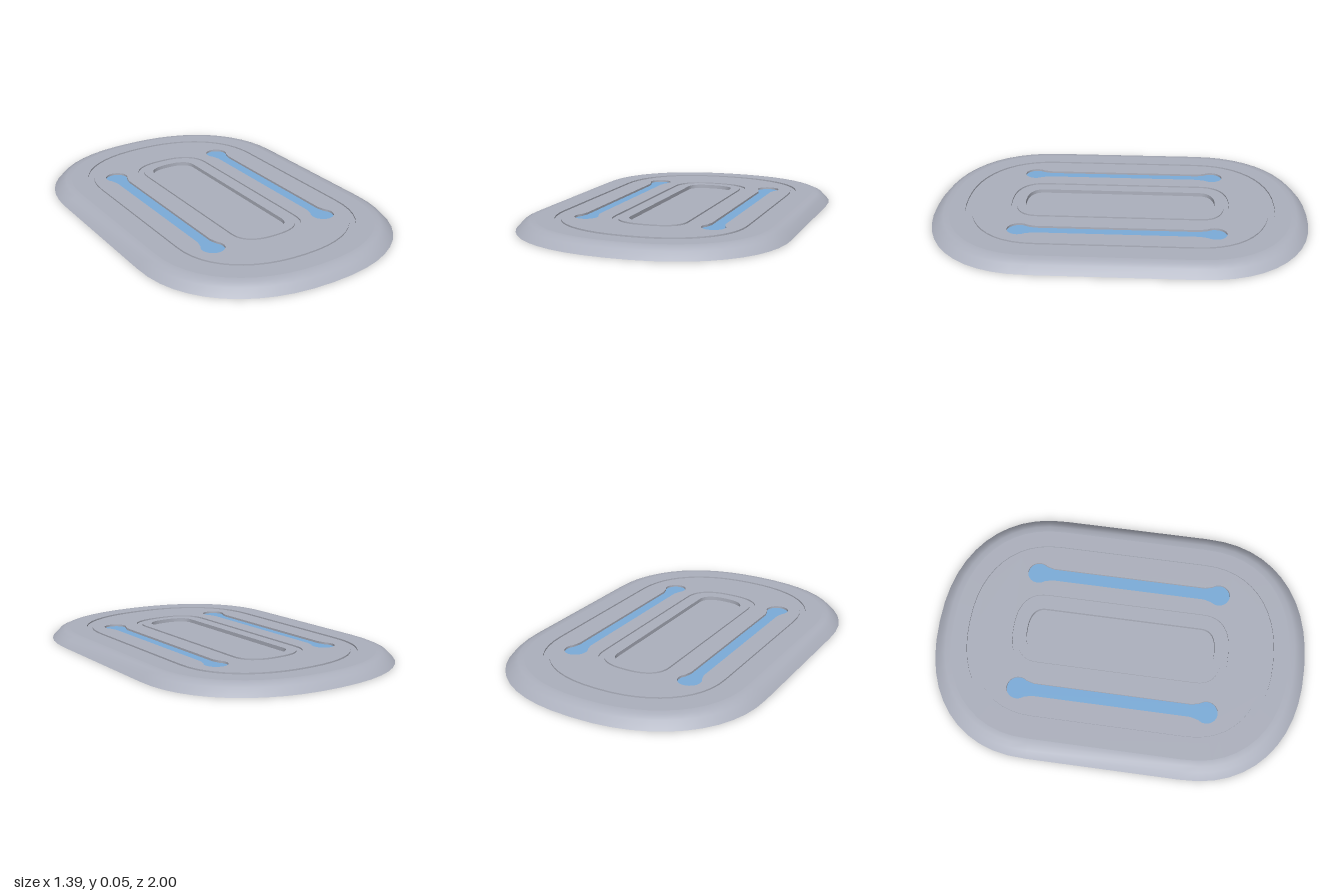
import * as THREE from 'three';
import { mergeGeometries } from 'three/addons/utils/BufferGeometryUtils.js';

const TOP = 0.053, SLOT_FLOOR = 0.042;

// Oblong outline with straight sides up to s and superelliptic ends, anticlockwise from above
function oblong(halfWidth, halfLength, s, n = 2.25, segs = 24) {
  const pts = [];
  for (const end of [1, -1]) {
    for (let i = 0; i <= segs; i++) {
      const t = (i / segs) * Math.PI;
      const c = Math.cos(t), sn = Math.max(0, Math.sin(t));
      pts.push(new THREE.Vector2(
        end * halfWidth * Math.sign(c) * Math.abs(c) ** (2 / n),
        end * (s + (halfLength - s) * sn ** (2 / n))));
    }
  }
  return pts;
}

// Dumbbell outline of a slot: round ends, tapered necks and a narrow bar
function dumbbell(cx) {
  const pts = [];
  for (const end of [1, -1]) {
    pts.push(new THREE.Vector2(cx + end * 0.035, end * 0.42));
    for (let i = 0; i <= 20; i++) {
      const t = THREE.MathUtils.degToRad(-40 + 260 * i / 20);
      pts.push(new THREE.Vector2(cx + end * 0.06 * Math.cos(t), end * (0.5 + 0.06 * Math.sin(t))));
    }
    pts.push(new THREE.Vector2(cx - end * 0.035, end * 0.42));
  }
  return pts;
}

// Skin through successive [outline, height] loops, smooth within one call
function band(...loops) {
  const n = loops[0][0].length, pos = [], idx = [];
  for (const [pts, y] of loops) for (const p of pts) pos.push(p.x, y, -p.y);
  for (let j = 0; j < loops.length - 1; j++) {
    for (let i = 0; i < n; i++) {
      const k = (i + 1) % n, a = j * n, b = a + n;
      idx.push(a + i, a + k, b + k, a + i, b + k, b + i);
    }
  }
  const g = new THREE.BufferGeometry();
  g.setAttribute('position', new THREE.Float32BufferAttribute(pos, 3));
  g.setIndex(idx);
  g.computeVertexNormals();
  return g;
}

// Flat face at height y, optionally with holes
function face(pts, y, holes = [], down = false) {
  const shape = new THREE.Shape(pts);
  shape.holes = holes.map(h => new THREE.Path(h));
  const g = new THREE.ShapeGeometry(shape);
  g.deleteAttribute('uv');
  g.rotateX(down ? Math.PI / 2 : -Math.PI / 2);
  return g.translate(0, y, 0);
}

// Separate bands between each pair of loops, so every edge stays sharp
function stepped(loops) {
  return mergeGeometries(loops.slice(1).map((l, i) => band(loops[i], l)));
}

export function createModel() {
  const group = new THREE.Group();
  const grey = new THREE.MeshStandardMaterial({ color: 0xadb1be });
  grey.name = 'grey';
  const blue = new THREE.MeshStandardMaterial({ color: 0x7cadda });
  blue.name = 'blue';
  const add = (name, geometry, material) => {
    const mesh = new THREE.Mesh(geometry, material);
    mesh.name = name;
    group.add(mesh);
  };

  // Underside recess and flat foot rim
  const foot = oblong(0.695, 1, 0.4);
  const recess = oblong(0.64, 0.945, 0.4), lip = oblong(0.65, 0.955, 0.4);
  add('undersideFloor', face(recess, 0.025, [], true), grey);
  add('footRim', stepped([[recess, 0.025], [lip, 0], [foot, 0]]), grey);

  // Sloping outer edge, rounded over onto the top
  const shoulder = oblong(0.6, 0.91, 0.4);
  add('outerEdge', band([foot, 0], [oblong(0.66, 0.967, 0.4), 0.037],
    [oblong(0.63, 0.938, 0.4), 0.05], [shoulder, TOP]), grey);

  // Top border and the large groove
  const grooveOut = oblong(0.507, 0.825, 0.4), grooveIn = oblong(0.477, 0.79, 0.4);
  add('topBorder', band([shoulder, TOP], [grooveOut, TOP]), grey);
  add('outerGroove', stepped([[grooveOut, TOP], [grooveOut, 0.045], [grooveIn, 0.045], [grooveIn, TOP]]), grey);

  // Main panel with openings for the slots and the centre
  const centreOut = oblong(0.21, 0.583, 0.42, 2.5), centreIn = oblong(0.18, 0.555, 0.42, 2.5);
  const slots = [dumbbell(-0.335), dumbbell(0.335)];
  add('topPanel', face(grooveIn, TOP, [centreOut, ...slots]), grey);

  // Centre groove, raised frame and pocket
  const pocket = oblong(0.128, 0.508, 0.42, 2.5);
  add('centreFrame', stepped([[centreOut, TOP], [centreOut, 0.045], [centreIn, 0.045],
    [centreIn, TOP], [pocket, TOP], [pocket, 0.033]]), grey);
  add('pocketFloor', face(pocket, 0.033), grey);

  // Slots with coloured floors
  slots.forEach((s, i) => {
    const side = i ? 'left' : 'right';
    add(side + 'SlotWall', stepped([[s, TOP], [s, SLOT_FLOOR]]), grey);
    add(side + 'SlotFloor', face(s, SLOT_FLOOR), blue);
  });
  return group;
}
